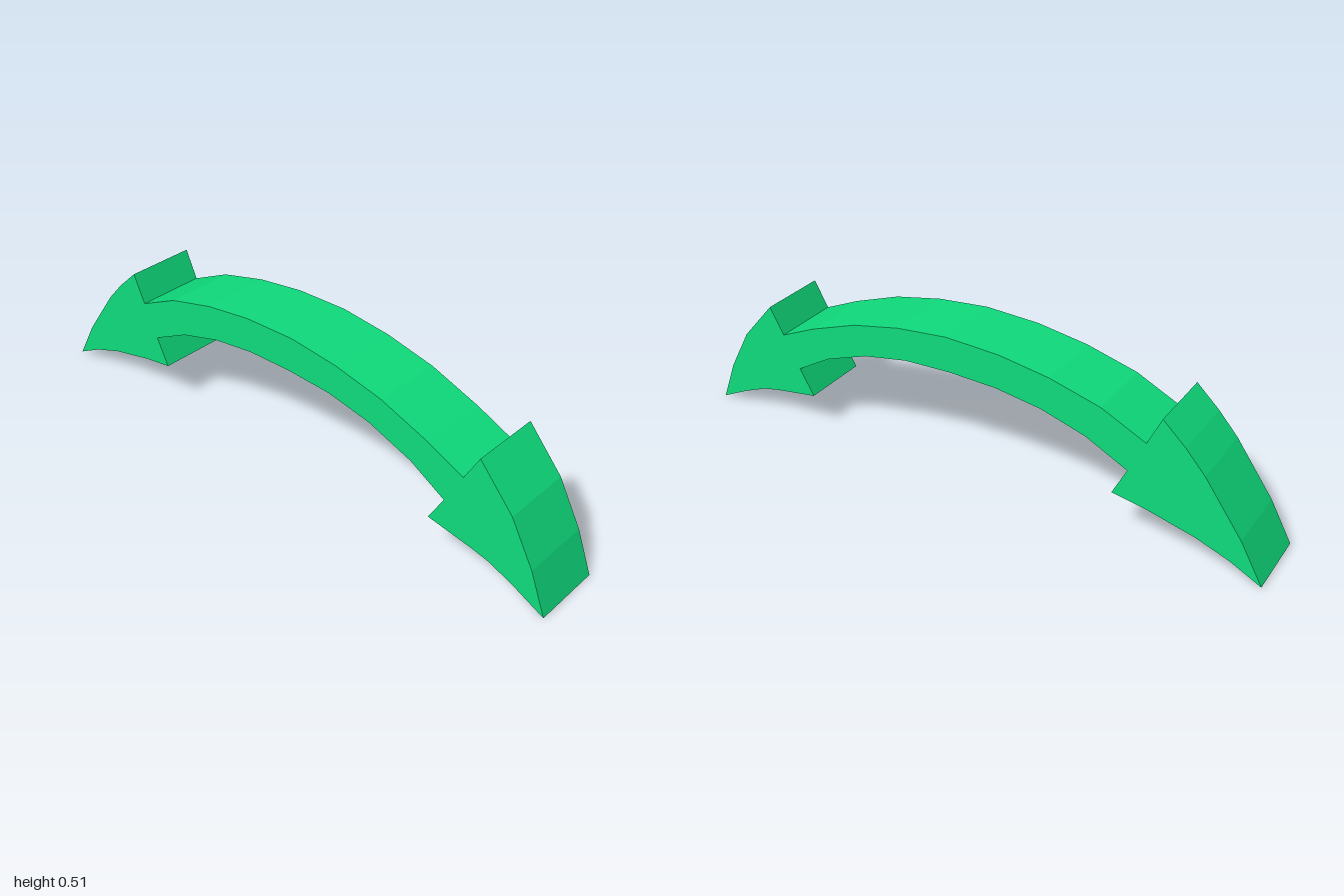
import * as THREE from 'three';

const DEPTH = 0.236;

// Outline pieces, clockwise from the tip of the right-hand head (-x)
const headUpper = [[-1, 0.007], [-0.925, 0.14], [-0.8, 0.313], [-0.735, 0.385], [-0.66, 0.455]];
const shaftTop = [[-0.617, 0.36], [-0.47, 0.43], [-0.3, 0.475], [-0.13, 0.5], [0.055, 0.506],
  [0.23, 0.487], [0.4, 0.45], [0.57, 0.388], [0.698, 0.33]];
const farHead = [[0.747, 0.42], [0.865, 0.285], [0.945, 0.14], [1, 0],
  [0.9, 0.05], [0.81, 0.088], [0.745, 0.103], [0.59, 0.129]];
const shaftBottom = [[0.64, 0.219], [0.515, 0.293], [0.36, 0.35], [0.205, 0.38], [0.045, 0.388],
  [-0.12, 0.384], [-0.275, 0.362], [-0.425, 0.318], [-0.565, 0.248]];
const headLower = [[-0.52, 0.155], [-0.63, 0.137], [-0.79, 0.098], [-0.9, 0.058]];

export function createModel() {
  const group = new THREE.Group();
  group.name = 'curvedDoubleArrow';

  // Bent shaft and both heads are one flat-sided slab
  const outline = [...headUpper, ...shaftTop, ...farHead, ...shaftBottom, ...headLower]
    .map(([x, y]) => new THREE.Vector2(x, y));
  const geometry = new THREE.ExtrudeGeometry(new THREE.Shape(outline), { depth: DEPTH, bevelEnabled: false });
  geometry.translate(0, 0, -DEPTH / 2);

  const material = new THREE.MeshStandardMaterial({ color: 0x0fdc7c, flatShading: true });
  const arrow = new THREE.Mesh(geometry, material);
  arrow.name = 'doubleHeadedArrow';
  group.add(arrow);
  return group;
}
